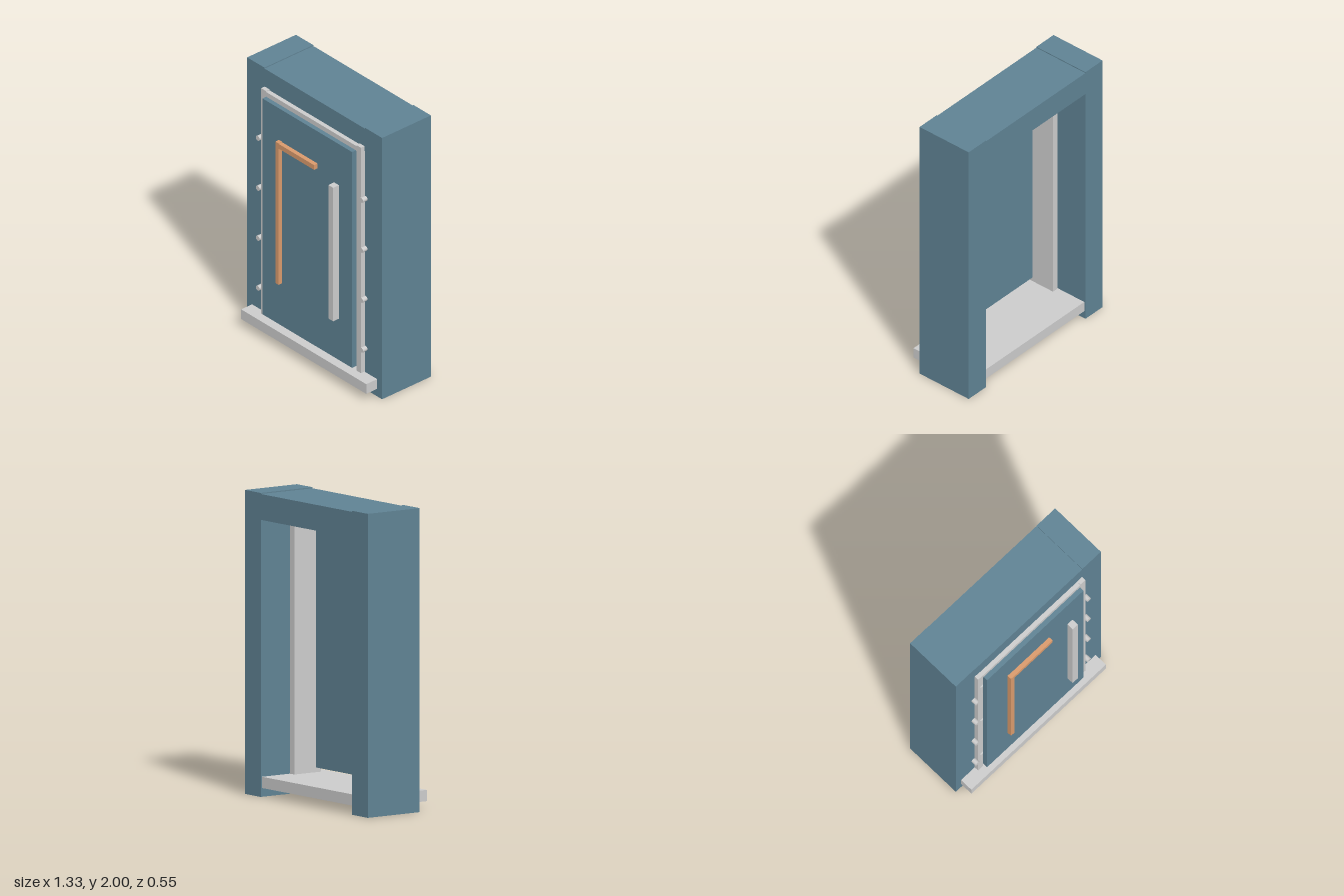
import * as THREE from 'three';

const wallMat = new THREE.MeshStandardMaterial({ color: 0x5f8293 });
const metalMat = new THREE.MeshStandardMaterial({ color: 0xcccccc });
const copperMat = new THREE.MeshStandardMaterial({ color: 0xd99a6c });

// Box given by its min/max extent on each axis
function box(name, mat, [x0, x1], [y0, y1], [z0, z1]) {
  const mesh = new THREE.Mesh(new THREE.BoxGeometry(x1 - x0, y1 - y0, z1 - z0), mat);
  mesh.position.set((x0 + x1) / 2, (y0 + y1) / 2, (z0 + z1) / 2);
  mesh.name = name;
  return mesh;
}

function cylinder(name, radius, length, x, y, z) {
  const mesh = new THREE.Mesh(new THREE.CylinderGeometry(radius, radius, length, 20), metalMat);
  mesh.position.set(x, y, z);
  mesh.name = name;
  return mesh;
}

export function createModel() {
  const model = new THREE.Group();
  model.name = 'doorway';

  const wallZ = [-0.277, 0.146];
  const liningZ = [-0.04, 0.177];

  // Both sides: wall pier, frame lining and a column of bolts
  for (const [side, s] of [['left', 1], ['right', -1]]) {
    const span = (a, b) => (s > 0 ? [a, b] : [-b, -a]);
    model.add(box(side + 'Pier', wallMat, span(0.494, 0.664), [0, 2], wallZ));
    model.add(box(side + 'Lining', metalMat, span(0.445, 0.491), [0.13, 1.857], liningZ));
    for (const y of [0.323, 0.705, 1.088, 1.47]) {
      const bolt = cylinder(side + 'Bolt', 0.018, 0.038, s * 0.51, y, 0.172);
      bolt.rotation.x = Math.PI / 2;
      model.add(bolt);
    }
  }

  // Lintel over the opening and the frame's head
  model.add(box('lintel', wallMat, [-0.494, 0.494], [1.823, 1.993], wallZ));
  model.add(box('headLining', metalMat, [-0.445, 0.445], [1.812, 1.85], liningZ));

  // Sill running through the opening and out past the wall
  model.add(box('sill', metalMat, [-0.616, 0.616], [0.058, 0.132], [-0.267, 0.241]));

  // Door leaf
  model.add(box('doorLeaf', wallMat, [-0.441, 0.441], [0.163, 1.815], [0.135, 0.21]));

  // Hinge barrels
  for (const y of [0.343, 0.982, 1.62]) {
    model.add(cylinder('hinge', 0.016, 0.127, -0.461, y, 0.17));
  }

  // Pull handle and inlaid copper trim
  model.add(box('pullHandle', metalMat, [0.28, 0.327], [0.492, 1.514], [0.224, 0.273]));
  model.add(box('verticalTrim', copperMat, [-0.265, -0.234], [0.502, 1.585], [0.222, 0.253]));
  model.add(box('horizontalTrim', copperMat, [-0.234, 0.116], [1.545, 1.581], [0.222, 0.253]));

  return model;
}
